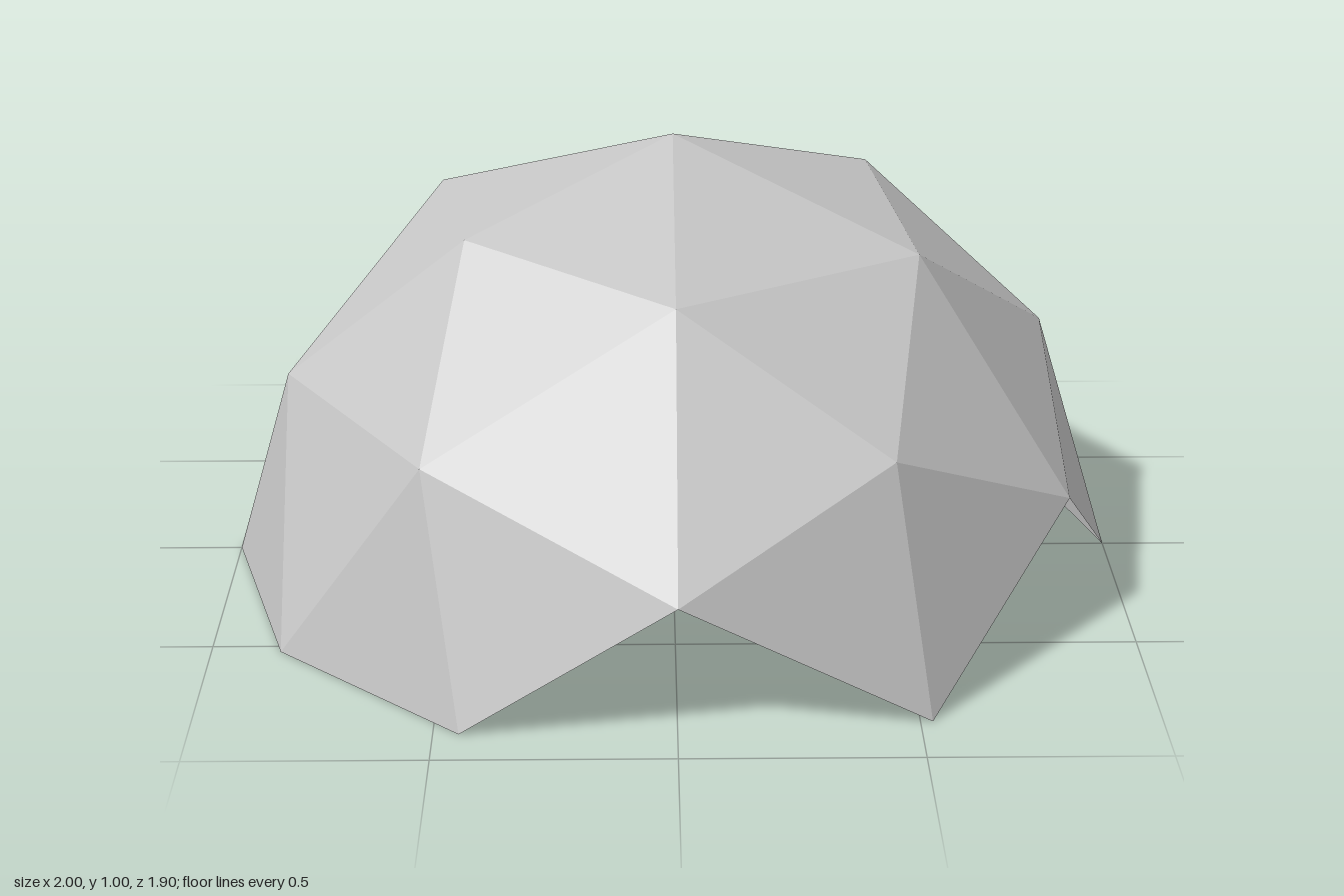
import * as THREE from 'three';

const shellGrey = new THREE.MeshStandardMaterial({ color: 0xc6c6c6, side: THREE.DoubleSide });
shellGrey.name = 'shell grey';
const framePurple = new THREE.MeshStandardMaterial({ color: 0x4410b8 });
framePurple.name = 'frame purple';

// Upper half of a two-frequency icosahedron; triangles crossing the ground are left out as doorways
function domeGeometry() {
  const source = new THREE.IcosahedronGeometry(1, 1).rotateY(Math.atan2(0.526, 0.851));
  const p = source.attributes.position;
  const kept = [];
  for (let i = 0; i < p.count; i += 3) {
    if (Math.min(p.getY(i), p.getY(i + 1), p.getY(i + 2)) < -0.001) continue;
    for (let k = i; k < i + 3; k++) kept.push(p.getX(k), Math.max(0, p.getY(k)), p.getZ(k));
  }
  const geometry = new THREE.BufferGeometry();
  geometry.setAttribute('position', new THREE.Float32BufferAttribute(kept, 3));
  geometry.computeVertexNormals(); // unshared corners give flat facets
  return geometry;
}

function box(parent, name, material, [w, h, d], [x, y, z]) {
  const mesh = new THREE.Mesh(new THREE.BoxGeometry(w, h, d), material);
  mesh.position.set(x, y, z);
  mesh.name = name;
  parent.add(mesh);
}

// Small railed platform standing near the middle of the floor
function platform() {
  const group = new THREE.Group();
  group.name = 'railedPlatform';
  const front = 0.13, back = -0.03, length = front - back, mid = (front + back) / 2;

  box(group, 'deck', shellGrey, [0.036, 0.006, length], [0, 0.012, mid]);
  box(group, 'frontPanel', shellGrey, [0.044, 0.08, 0.003], [0, 0.04, front + 0.001]);

  for (const side of [-1, 1]) {
    const x = side * 0.02;
    box(group, 'baseRail', framePurple, [0.004, 0.014, length], [x, 0.007, mid]);
    box(group, 'middleRail', framePurple, [0.004, 0.008, length], [x, 0.026, mid]);
    box(group, 'topRail', framePurple, [0.004, 0.008, length], [x, 0.08, mid]);
    for (let i = 0; i < 6; i++) {
      const z = front - 0.002 - (i * (length - 0.004)) / 5;
      box(group, 'railPost', framePurple, [0.004, 0.084, 0.004], [x, 0.042, z]);
    }
  }

  // Thin mast with a crossbar at the back
  box(group, 'mast', shellGrey, [0.003, 0.112, 0.003], [0, 0.056, back + 0.002]);
  box(group, 'mastCrossbar', shellGrey, [0.022, 0.004, 0.004], [0, 0.113, back + 0.002]);
  return group;
}

export function createModel() {
  const model = new THREE.Group();
  model.name = 'geodesicDome';
  const dome = new THREE.Mesh(domeGeometry(), shellGrey);
  dome.name = 'domeShell';
  model.add(dome, platform());
  return model;
}
